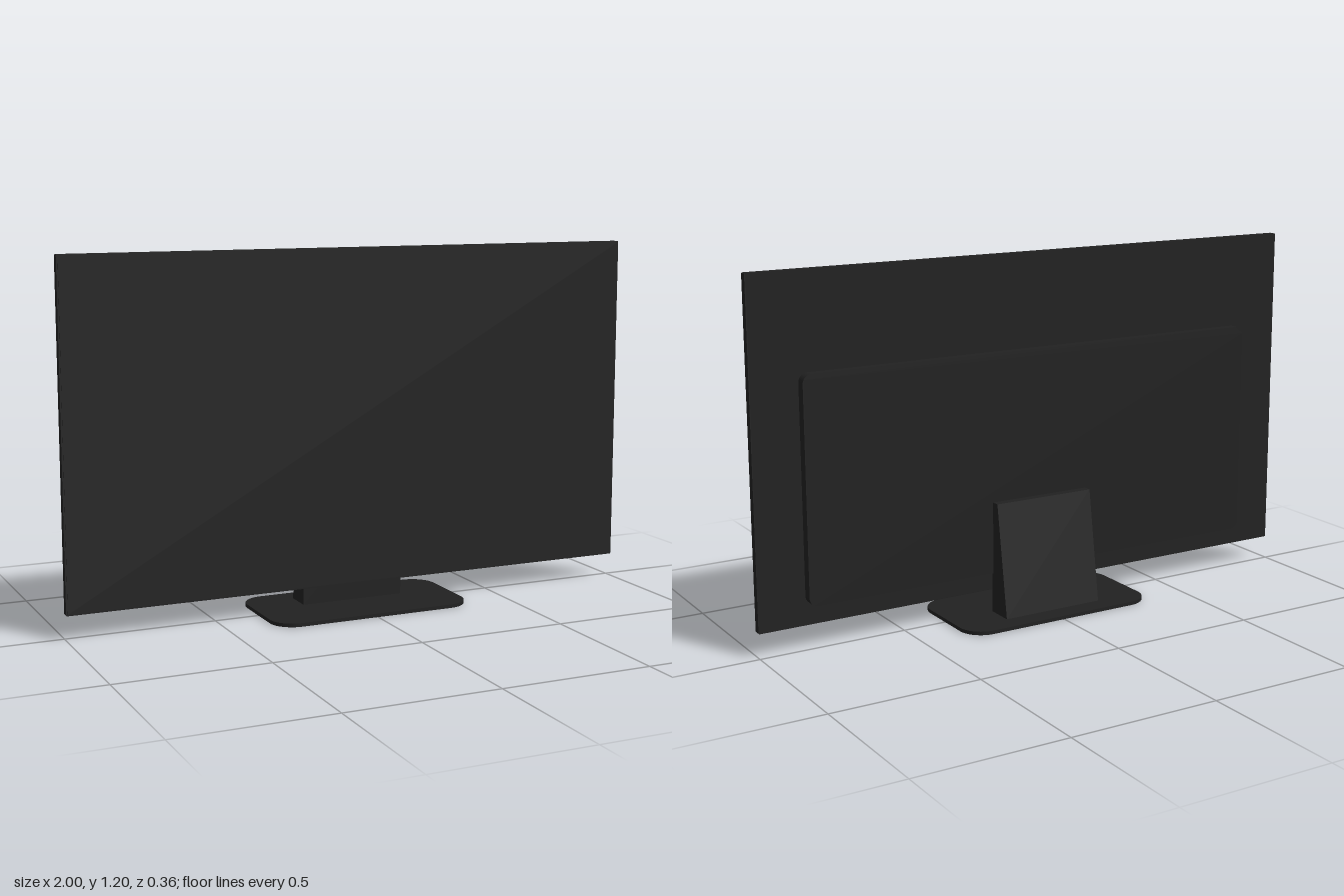
import * as THREE from 'three';

// Rectangle with rounded corners, centred on (cx, cy)
function roundedRect(w, h, r, cx = 0, cy = 0) {
  const x = w / 2 - r, y = h / 2 - r;
  const s = new THREE.Shape();
  s.absarc(cx + x, cy + y, r, 0, Math.PI / 2);
  s.absarc(cx - x, cy + y, r, Math.PI / 2, Math.PI);
  s.absarc(cx - x, cy - y, r, Math.PI, Math.PI * 1.5);
  s.absarc(cx + x, cy - y, r, Math.PI * 1.5, Math.PI * 2);
  s.closePath();
  return s;
}

const extrude = (shape, depth, curveSegments = 10) =>
  new THREE.ExtrudeGeometry(shape, { depth, bevelEnabled: false, curveSegments });

export function createModel() {
  const group = new THREE.Group();
  const casing = new THREE.MeshStandardMaterial({ color: 0x212121 });
  casing.name = 'charcoal casing';
  const glass = new THREE.MeshStandardMaterial({ color: 0x222222 });
  glass.name = 'dark screen';

  const add = (name, geometry, material) => {
    const mesh = new THREE.Mesh(geometry, material);
    mesh.name = name;
    group.add(mesh);
  };

  // Thin display panel with a nearly edge-to-edge screen
  const panel = extrude(roundedRect(2, 1.12, 0.004, 0, 0.64), 0.023, 3);
  panel.translate(0, 0, 0.005);
  add('displayPanel', panel, casing);

  const screen = new THREE.BoxGeometry(1.99, 1.11, 0.002);
  screen.translate(0, 0.64, 0.029);
  add('screen', screen, glass);

  // Electronics housing on the back
  const housing = extrude(roundedRect(1.68, 0.738, 0.03, 0, 0.516), 0.032);
  housing.translate(0, 0, -0.027);
  add('backHousing', housing, casing);

  // Wedge-shaped neck, profile drawn as (z, y)
  const profile = new THREE.Shape([
    [-0.113, 0.01], [-0.02, 0.01], [-0.02, 0.39], [-0.055, 0.39],
  ].map(([z, y]) => new THREE.Vector2(z, y)));
  const neck = extrude(profile, 0.36);
  neck.rotateY(-Math.PI / 2);
  neck.translate(0.18, 0, 0);
  add('standNeck', neck, casing);

  // Flat foot with rounded corners
  const foot = extrude(roundedRect(0.7, 0.364, 0.08), 0.012);
  foot.rotateX(-Math.PI / 2);
  add('standFoot', foot, casing);

  return group;
}
